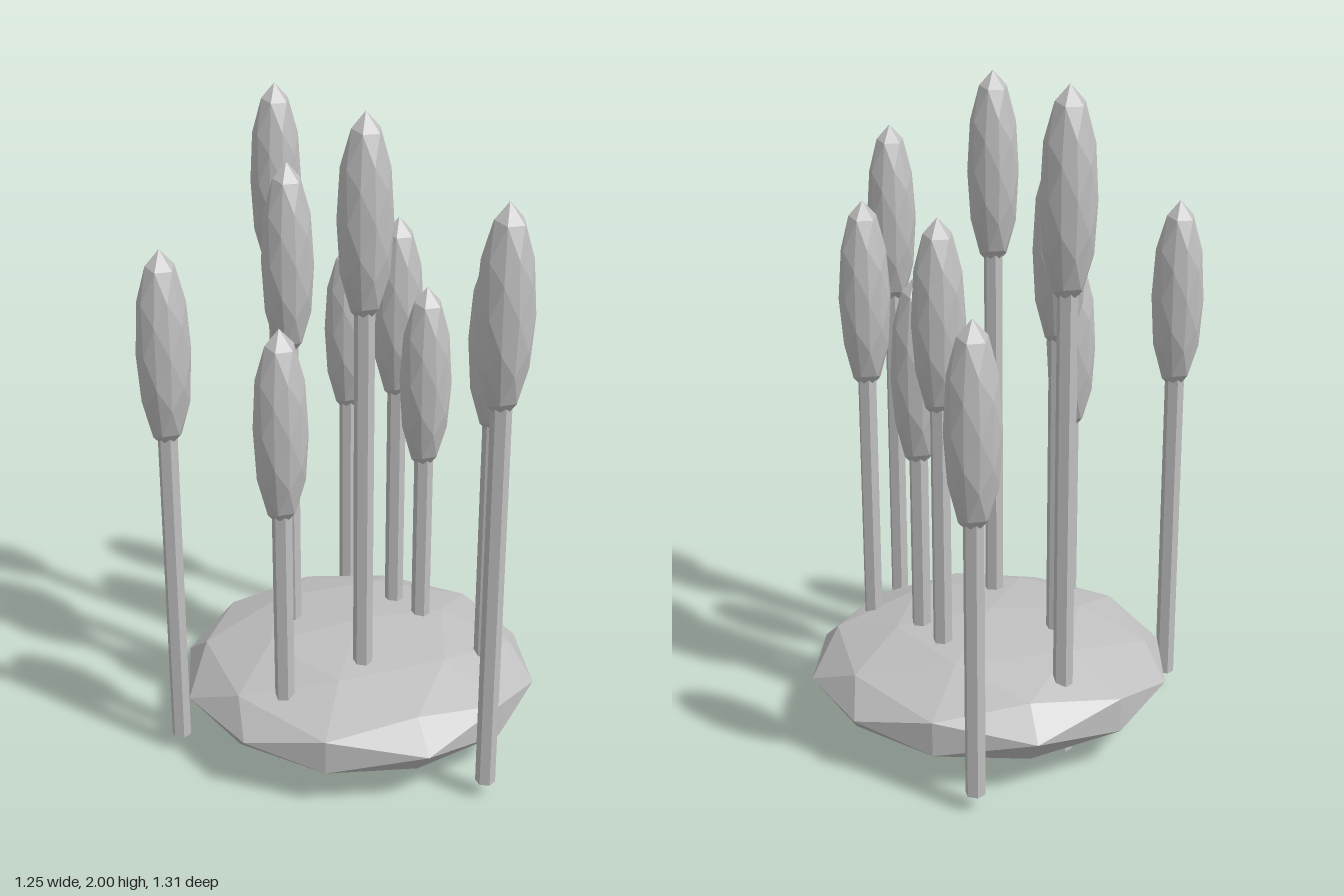
import * as THREE from 'three';

export function createModel() {
  const model = new THREE.Group();
  model.name = 'reedClump';
  const grey = new THREE.MeshStandardMaterial({ color: 0xbfbfbf });
  grey.name = 'grey';
  grey.flatShading = true;

  // Flattened faceted mound
  const mound = new THREE.Mesh(new THREE.IcosahedronGeometry(0.57, 1), grey);
  mound.name = 'mound';
  mound.scale.y = 0.3;
  mound.position.set(0.055, 0.171, 0);
  model.add(mound);

  // Reeds: x, z and height of the tip
  const stemBottom = 0.05, headHalf = 0.3, headRadius = 0.081;
  const headGeometry = new THREE.IcosahedronGeometry(1, 1);
  headGeometry.scale(headRadius, headHalf, headRadius);
  const reeds = [
    [0.24, -0.573, 1.43], [-0.07, -0.393, 2.0], [-0.125, -0.13, 1.81],
    [0.235, -0.13, 1.62], [-0.545, 0, 1.62], [0.275, 0, 1.43],
    [-0.278, 0.24, 1.43], [-0.013, 0.21, 2.0], [0.388, 0.24, 1.62],
    [0.24, 0.573, 1.81],
  ];
  for (const [x, z, tip] of reeds) {
    const reed = new THREE.Group();
    reed.name = 'reed';
    reed.position.set(x, 0, z);

    // Six-sided stem, ending inside the seed head
    const headY = tip - headHalf;
    const length = headY - stemBottom;
    const stem = new THREE.Mesh(new THREE.CylinderGeometry(0.03, 0.03, length, 6), grey);
    stem.name = 'stem';
    stem.position.y = stemBottom + length / 2;

    // Long faceted seed head
    const head = new THREE.Mesh(headGeometry, grey);
    head.name = 'seedHead';
    head.position.y = headY;

    reed.add(stem, head);
    model.add(reed);
  }
  return model;
}
